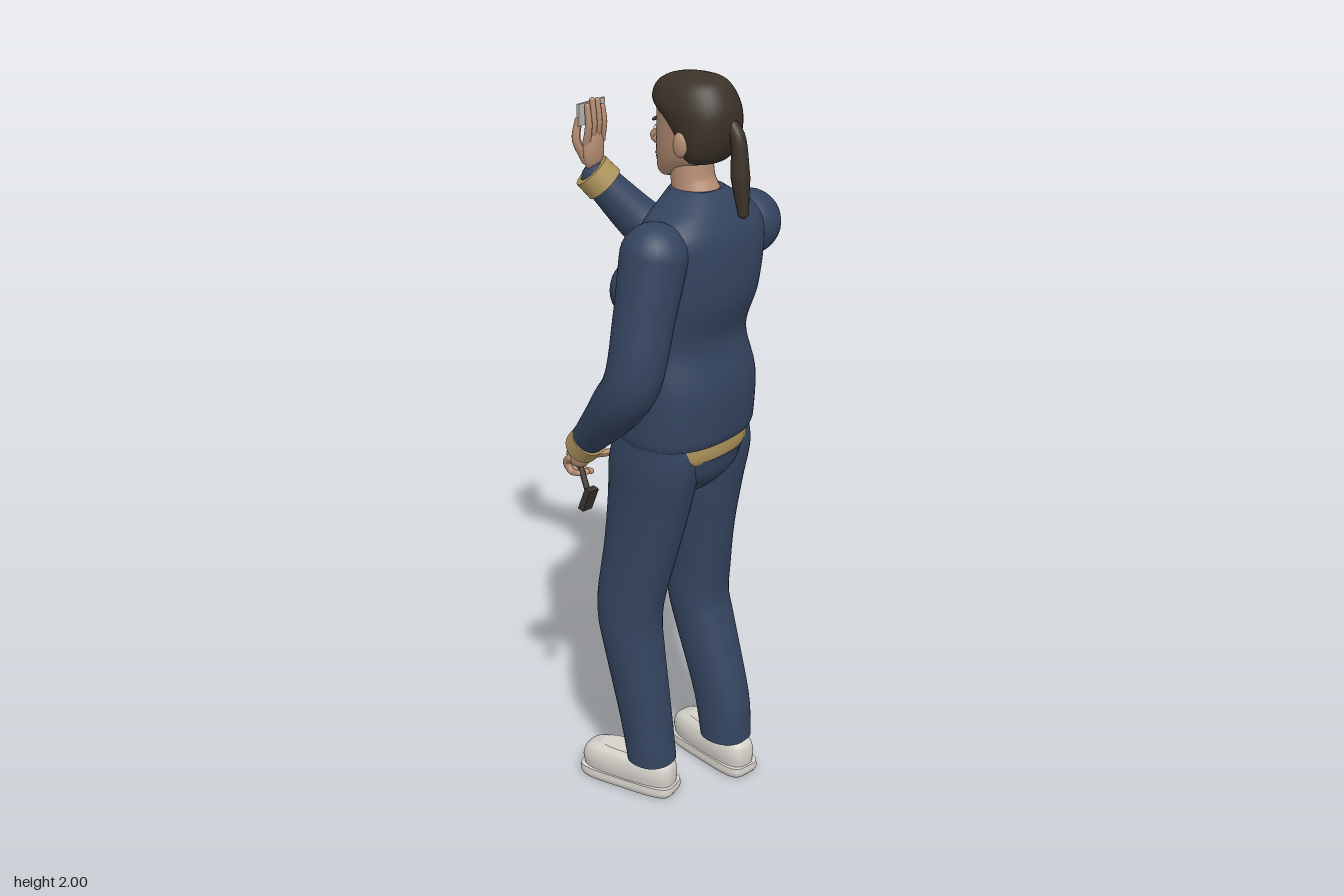
import * as THREE from 'three';

const mat = (name, color) => {
  const m = new THREE.MeshStandardMaterial({ color });
  m.name = name;
  return m;
};
const navy = mat('navy cloth', 0x34445f), gold = mat('gold cloth', 0xb0965c), skin = mat('skin', 0xb48c72);
const hair = mat('brown hair', 0x3b3228), white = mat('white shoe', 0xd6d2cb), dark = mat('dark grip', 0x37312b);
const grey = mat('grey card', 0xb9b7b2), lip = mat('lips', 0x93604f);

function add(parent, name, geo, material, pos = [0, 0, 0], scale = [1, 1, 1]) {
  const m = new THREE.Mesh(geo, material);
  m.name = name;
  m.position.set(...pos);
  m.scale.set(...scale);
  parent.add(m);
  return m;
}
const ball = (parent, name, material, pos, size) =>
  add(parent, name, new THREE.SphereGeometry(1, 24, 16), material, pos, size);

// Smooth closed body through horizontal rings [y, centreX, halfWidth, zMin, zMax]
function loft(rings, power = 2, seg = 40) {
  const list = [...rings].sort((a, b) => a[0] - b[0]);
  const centre = new THREE.CatmullRomCurve3(
    list.map(([y, x, , a, b]) => new THREE.Vector3(x, y, (a + b) / 2)), false, 'catmullrom');
  const size = new THREE.CatmullRomCurve3(
    list.map(([, , w, a, b]) => new THREE.Vector3(w, (b - a) / 2, 0)), false, 'catmullrom');
  const steps = (list.length - 1) * 5, pos = [], index = [];
  const row = (t, k) => {
    const c = centre.getPoint(t), s = size.getPoint(t);
    for (let i = 0; i < seg; i++) {
      const a = (i / seg) * Math.PI * 2;
      const bend = (v) => Math.sign(v) * Math.abs(v) ** (2 / power) * k;
      pos.push(c.x + s.x * bend(Math.cos(a)), c.y, c.z + s.y * bend(Math.sin(a)));
    }
  };
  row(0, 0); row(0, 1);
  for (let j = 0; j <= steps; j++) row(j / steps, 1);
  row(1, 1); row(1, 0);
  for (let j = 0; j < steps + 4; j++) {
    for (let i = 0; i < seg; i++) {
      const a = j * seg + i, b = j * seg + ((i + 1) % seg);
      index.push(a, a + seg, b, b, a + seg, b + seg);
    }
  }
  const g = new THREE.BufferGeometry();
  g.setAttribute('position', new THREE.Float32BufferAttribute(pos, 3));
  g.setIndex(index);
  g.computeVertexNormals();
  return g;
}

// Round limb through points [x, y, z, radius] with ball ends
function limb(parent, name, material, pts, sides = 24) {
  const group = new THREE.Group();
  group.name = name;
  parent.add(group);
  const v = pts.map((p) => new THREE.Vector3(p[0], p[1], p[2]));
  const curve = new THREE.CatmullRomCurve3(v);
  const at = [0];
  for (let i = 1; i < v.length; i++) at.push(at[i - 1] + v[i].distanceTo(v[i - 1]));
  const radius = (u) => {
    const d = u * at[at.length - 1];
    let i = 1;
    while (i < at.length - 1 && at[i] < d) i++;
    return THREE.MathUtils.lerp(pts[i - 1][3], pts[i][3], (d - at[i - 1]) / (at[i] - at[i - 1]));
  };
  const n = pts.length * 6, g = new THREE.TubeGeometry(curve, n, 1, sides);
  const p = g.attributes.position, q = new THREE.Vector3();
  for (let i = 0; i < p.count; i++) {
    const u = Math.floor(i / (sides + 1)) / n, c = curve.getPointAt(u);
    q.fromBufferAttribute(p, i).sub(c).multiplyScalar(radius(u)).add(c);
    p.setXYZ(i, q.x, q.y, q.z);
  }
  g.computeVertexNormals();
  add(group, name + 'Tube', g, material);
  for (const e of [pts[0], pts[pts.length - 1]]) {
    ball(group, name + 'End', material, [e[0], e[1], e[2]], [e[3], e[3], e[3]]);
  }
  return group;
}

// Short cuff ring around a wrist
function cuff(parent, from, to, r) {
  const a = new THREE.Vector3(...from), b = new THREE.Vector3(...to), len = a.distanceTo(b);
  const m = add(parent, 'cuff', new THREE.CylinderGeometry(r * 0.97, r, len, 28), gold);
  m.position.copy(a).lerp(b, 0.5);
  m.quaternion.setFromUnitVectors(new THREE.Vector3(0, 1, 0), b.sub(a).normalize());
}

function buildHead(root) {
  const head = new THREE.Group();
  head.name = 'head';
  root.add(head);
  const X = 0.013;
  add(head, 'face', loft([
    [1.735, X, 0.02, 0.05, 0.09], [1.752, X, 0.043, 0.043, 0.14], [1.785, X, 0.062, 0.042, 0.2],
    [1.825, X, 0.073, 0.042, 0.23], [1.87, X, 0.079, 0.046, 0.245], [1.92, X, 0.08, 0.05, 0.25],
    [1.965, X, 0.055, 0.085, 0.21]]), skin);
  add(head, 'hairCap', loft([
    [1.79, X, 0.06, 0.15, 0.225], [1.81, X, 0.078, 0.135, 0.245], [1.85, X, 0.088, 0.115, 0.262],
    [1.895, X, 0.092, 0.075, 0.268], [1.93, X, 0.091, 0.04, 0.263], [1.965, X, 0.078, 0.045, 0.245],
    [1.988, X, 0.055, 0.075, 0.22], [2.0, X, 0.015, 0.13, 0.175]], 2.2), hair);
  limb(head, 'neck', skin, [[X, 1.68, 0.165, 0.062], [X, 1.73, 0.145, 0.056], [X, 1.79, 0.14, 0.052]]);
  limb(head, 'ponytail', hair, [
    [X, 1.885, 0.26, 0.016], [X, 1.86, 0.277, 0.019], [X, 1.76, 0.288, 0.024], [X, 1.675, 0.298, 0.014]], 14);
  limb(head, 'nose', skin, [
    [X, 1.868, 0.047, 0.008], [X, 1.84, 0.033, 0.01], [X, 1.822, 0.022, 0.012], [X, 1.814, 0.04, 0.014]], 12);
  ball(head, 'chin', skin, [X, 1.75, 0.056], [0.022, 0.014, 0.016]);
  ball(head, 'upperLip', lip, [X, 1.786, 0.041], [0.021, 0.005, 0.007]);
  ball(head, 'lowerLip', lip, [X, 1.777, 0.042], [0.018, 0.006, 0.007]);
  for (const s of [-1, 1]) {
    ball(head, 'ear', skin, [X + s * 0.087, 1.84, 0.17], [0.013, 0.032, 0.02]);
    ball(head, 'eye', white, [X + s * 0.034, 1.856, 0.058], [0.014, 0.006, 0.006]);
    ball(head, 'iris', dark, [X + s * 0.034, 1.856, 0.053], [0.006, 0.006, 0.003]);
    const brow = ball(head, 'brow', hair, [X + s * 0.036, 1.878, 0.054], [0.02, 0.004, 0.006]);
    brow.rotation.y = -s * 0.3;
  }
}

function buildTorso(root) {
  add(root, 'jumper', loft([
    [1.068, 0.008, 0.194, -0.008, 0.272], [1.1, 0.008, 0.2, -0.02, 0.28], [1.22, 0.006, 0.196, -0.013, 0.285],
    [1.34, 0, 0.177, 0, 0.262], [1.45, 0.005, 0.187, 0.005, 0.291], [1.55, 0.008, 0.198, 0.03, 0.295],
    [1.62, 0.008, 0.198, 0.06, 0.285], [1.66, 0.008, 0.165, 0.075, 0.265], [1.69, 0.01, 0.115, 0.083, 0.245],
    [1.718, 0.012, 0.07, 0.093, 0.217]], 2.35, 56), navy);
  for (const s of [-1, 1]) ball(root, 'bust', navy, [0.008 + s * 0.085, 1.45, 0.055], [0.085, 0.085, 0.08]);
  // Neckline crescent
  const neckline = new THREE.Group();
  root.add(neckline);
  limb(neckline, 'neckline', gold, [
    [-0.055, 1.638, 0.078, 0.01], [0.01, 1.622, 0.055, 0.016], [0.075, 1.638, 0.078, 0.01]], 12);
  // Undershirt gap above the trousers
  add(root, 'undershirt', loft([
    [0.985, 0.008, 0.12, 0.0, 0.2], [1.02, 0.008, 0.17, -0.008, 0.262], [1.1, 0.008, 0.18, -0.01, 0.268]], 2.3), gold);
  add(root, 'trouserSeat', loft([
    [0.885, 0.006, 0.03, 0.07, 0.15], [0.92, 0.006, 0.08, 0.03, 0.205], [0.97, 0.006, 0.14, 0.006, 0.25],
    [1.026, 0.008, 0.165, 0.01, 0.266]], 2.2), navy);
}

function buildLegs(root) {
  add(root, 'rearLeg', loft([
    [0.1, 0.12, 0.068, 0.13, 0.27], [0.23, 0.123, 0.07, 0.1, 0.257], [0.44, 0.127, 0.08, 0.03, 0.195],
    [0.52, 0.126, 0.083, 0.01, 0.174], [0.6, 0.124, 0.082, 0.002, 0.18], [0.75, 0.115, 0.082, 0, 0.2],
    [0.89, 0.112, 0.089, -0.006, 0.225], [1.0, 0.114, 0.09, -0.01, 0.246], [1.08, 0.116, 0.085, 0.015, 0.235]], 2.2), navy);
  add(root, 'frontLeg', loft([
    [0.1, -0.107, 0.066, 0.05, 0.18], [0.23, -0.108, 0.068, 0.022, 0.165], [0.44, -0.11, 0.079, -0.028, 0.135],
    [0.52, -0.111, 0.081, -0.046, 0.13], [0.6, -0.11, 0.081, -0.048, 0.142], [0.75, -0.101, 0.083, -0.032, 0.18],
    [0.89, -0.096, 0.088, -0.022, 0.215], [1.0, -0.098, 0.09, -0.016, 0.24], [1.08, -0.1, 0.085, 0.01, 0.235]], 2.2), navy);
  for (const [x, z, turn] of [[0.132, 0.148, -0.17], [-0.117, 0.045, 0.17]]) {
    const shoe = new THREE.Group();
    shoe.name = 'shoe';
    shoe.position.set(x, 0, z);
    shoe.rotation.y = turn;
    root.add(shoe);
    add(shoe, 'sole', loft([[0, 0, 0.051, -0.14, 0.14], [0.012, 0, 0.055, -0.146, 0.146],
      [0.03, 0, 0.054, -0.145, 0.145]], 4.5), white);
    add(shoe, 'shoeUpper', loft([[0.025, 0, 0.048, -0.138, 0.138], [0.06, 0, 0.053, -0.142, 0.14],
      [0.09, 0, 0.048, -0.128, 0.134], [0.108, 0, 0.034, -0.085, 0.115]], 3.2), white);
  }
}

function buildRaisedArm(root) {
  const arm = new THREE.Group();
  arm.name = 'raisedArm';
  root.add(arm);
  limb(arm, 'raisedSleeve', navy, [[0.19, 1.59, 0.185, 0.085], [0.222, 1.54, 0.09, 0.075], [0.244, 1.495, -0.03, 0.07],
    [0.25, 1.455, -0.115, 0.068], [0.215, 1.505, -0.175, 0.064], [0.128, 1.635, -0.262, 0.046]], 32);
  cuff(arm, [0.14, 1.618, -0.25], [0.115, 1.657, -0.276], 0.055);
  ball(arm, 'raisedPalm', skin, [0.12, 1.715, -0.272], [0.038, 0.062, 0.02]);
  for (let i = 0; i < 4; i++) {
    const x = 0.091 + i * 0.02, top = 1.835 + [0, 0.012, 0.008, -0.012][i];
    limb(arm, 'raisedFinger', skin, [[x + 0.002, 1.735, -0.272, 0.011], [x, 1.785, -0.262, 0.01],
      [x, top, -0.266, 0.008]], 10);
  }
  limb(arm, 'raisedThumb', skin, [[0.1, 1.69, -0.28, 0.015], [0.078, 1.745, -0.294, 0.012],
    [0.085, 1.795, -0.292, 0.01]], 10);
  add(arm, 'card', new THREE.BoxGeometry(0.105, 0.058, 0.008), grey, [0.122, 1.813, -0.28]);
}

function buildLoweredArm(root) {
  const arm = new THREE.Group();
  arm.name = 'loweredArm';
  root.add(arm);
  limb(arm, 'loweredSleeve', navy, [[-0.185, 1.59, 0.18, 0.085], [-0.218, 1.45, 0.178, 0.077], [-0.25, 1.28, 0.165, 0.072],
    [-0.243, 1.2, 0.11, 0.068], [-0.21, 1.065, -0.015, 0.044]], 32);
  cuff(arm, [-0.212, 1.068, -0.008], [-0.204, 1.032, -0.042], 0.048);
  ball(arm, 'loweredPalm', skin, [-0.19, 1.0, -0.065], [0.03, 0.036, 0.035]);
  for (let i = 0; i < 4; i++) {
    const x = -0.212 + i * 0.017, y = 0.995 - i * 0.004;
    limb(arm, 'loweredFinger', skin, [[x, y, -0.075, 0.011], [x + 0.005, y - 0.02, -0.094, 0.01],
      [x + 0.008, y - 0.044, -0.08, 0.009], [x + 0.006, y - 0.042, -0.055, 0.008]], 10);
  }
  limb(arm, 'loweredThumb', skin, [[-0.18, 1.005, -0.06, 0.014], [-0.14, 0.99, -0.045, 0.011],
    [-0.096, 0.985, -0.024, 0.009]], 10);
  // Small dark object hanging from the hand
  limb(arm, 'gripStem', dark, [[-0.195, 0.965, -0.055, 0.008], [-0.208, 0.915, -0.022, 0.008]], 10);
  const grip = add(arm, 'grip', new THREE.BoxGeometry(0.038, 0.062, 0.018), dark, [-0.214, 0.895, -0.014]);
  grip.rotation.set(0.3, 0, -0.12);
}

export function createModel() {
  const root = new THREE.Group();
  root.name = 'standingFigure';
  buildHead(root);
  buildTorso(root);
  buildLegs(root);
  buildRaisedArm(root);
  buildLoweredArm(root);
  return root;
}
